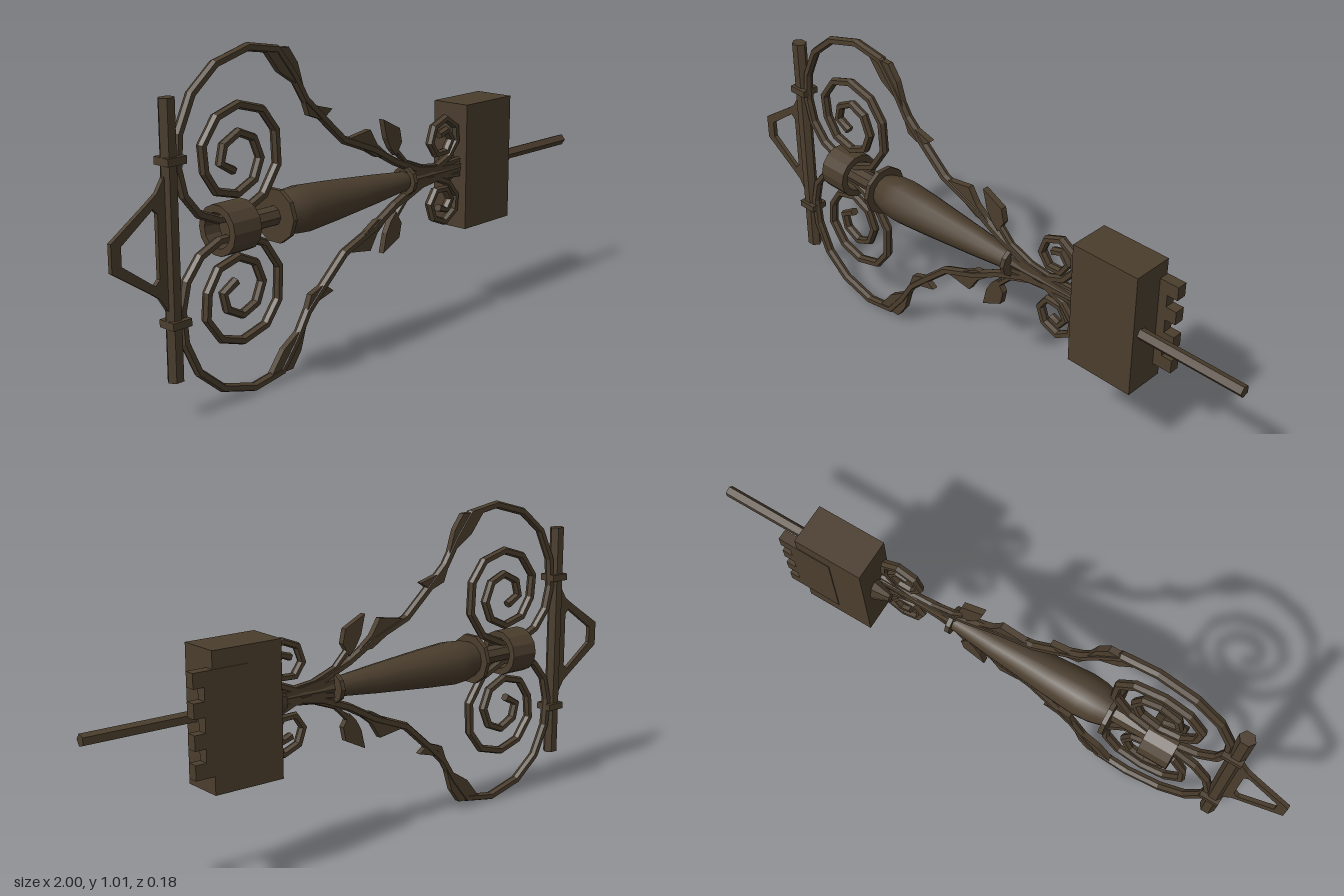
import * as THREE from 'three';

const MID = 0.507, Z = 0.01; // height and depth of the long axis

export function createModel() {
  const root = new THREE.Group();
  root.name = 'ornateKey';
  const bronze = new THREE.MeshStandardMaterial({ color: 0x4a3d2d });
  bronze.name = 'dark bronze';

  const add = (name, geo, x = 0, y = 0, z = 0) => {
    const m = new THREE.Mesh(geo, bronze);
    m.name = name;
    m.position.set(x, y, z);
    root.add(m);
    return m;
  };
  const flat = (geo) => {
    const g = geo.index ? geo.toNonIndexed() : geo;
    g.computeVertexNormals();
    return g;
  };
  // mirrors points about the long axis
  const place = (pts, side) => pts.map(([x, y]) => new THREE.Vector2(x, MID + side * (y - 0.51)));

  // hexagonal wrought bar swept along a flat path
  const bar = (pts, w, d) => {
    const ring = [[1, 0], [0.6, 1], [-0.6, 1], [-1, 0], [-0.6, -1], [0.6, -1]];
    const n = ring.length, pos = [], idx = [];
    pts.forEach((p, i) => {
      const a = pts[Math.max(i - 1, 0)], b = pts[Math.min(i + 1, pts.length - 1)];
      const t1 = p.clone().sub(a).normalize(), t2 = b.clone().sub(p).normalize();
      const t = t1.add(t2).normalize();
      ring.forEach(([u, v]) => pos.push(p.x - t.y * u * w, p.y + t.x * u * w, Z + v * d));
      for (let j = 0; j < n && i < pts.length - 1; j++) {
        const k = i * n + j, l = i * n + (j + 1) % n;
        idx.push(k, l, k + n, l, l + n, k + n);
      }
    });
    const e = (pts.length - 1) * n;
    for (let j = 1; j < n - 1; j++) idx.push(0, j + 1, j, e, e + j, e + j + 1);
    const g = new THREE.BufferGeometry();
    g.setAttribute('position', new THREE.Float32BufferAttribute(pos, 3));
    g.setIndex(idx);
    return flat(g);
  };

  // plate cut in the xy plane, centred on the axis depth
  const plate = (pts, depth, hole) => {
    const s = new THREE.Shape(pts);
    if (hole) s.holes.push(new THREE.Path(hole));
    const g = new THREE.ExtrudeGeometry(s, { depth, bevelEnabled: false });
    return g.translate(0, 0, Z - depth / 2);
  };

  // turned part along x, profile given as [x, radius]
  const turned = (name, profile, sides, smooth) => {
    let g = new THREE.LatheGeometry(profile.map(([x, r]) => new THREE.Vector2(r, x)), sides);
    if (!smooth) g = flat(g);
    g.rotateZ(-Math.PI / 2);
    return add(name, g, 0, MID, Z);
  };

  // central shaft
  turned('hubRing', [[-0.635, 0.052], [-0.635, 0.074], [-0.535, 0.074], [-0.535, 0.052], [-0.635, 0.052]], 14);
  turned('neck', [[-0.60, 0], [-0.60, 0.03], [-0.42, 0.03]], 8);
  turned('rearCollar', [[-0.42, 0], [-0.42, 0.082], [-0.405, 0.082], [-0.405, 0]], 10);
  turned('spindle', [[-0.405, 0.056], [-0.36, 0.068], [-0.31, 0.072], [-0.2, 0.064], [0, 0.046], [0.15, 0.03]], 12, true);
  turned('frontCollar', [[0.145, 0], [0.145, 0.047], [0.16, 0.047], [0.16, 0]], 10);
  turned('innerShaft', [[0.15, 0.018], [0.43, 0.014]], 6);
  turned('tipRod', [[0.6, 0], [0.6, 0.019], [1, 0.019], [1, 0]], 5);

  // lock block with toothed plate
  add('block', new THREE.BoxGeometry(0.232, 0.414, 0.135), 0.531, MID + 0.001, -0.0225);
  add('combPlate', new THREE.BoxGeometry(0.145, 0.305, 0.034), 0.6025, MID + 0.003, -0.0755);
  for (const y of [0.64, 0.555, 0.465, 0.38]) {
    add('tooth', new THREE.BoxGeometry(0.05, 0.045, 0.034), 0.686, y, -0.0755);
  }
  const socket = add('socket', flat(new THREE.CylinderGeometry(0.03, 0.08, 0.06, 8)), 0.39, MID, -0.03);
  socket.rotation.z = Math.PI / 2;
  socket.scale.set(0.75, 1, 0.4);

  // cross bar at the bow, with its end loop
  const hex = flat(new THREE.CylinderGeometry(0.026, 0.026, 0.783, 6));
  hex.rotateY(Math.PI / 2);
  add('crossBar', hex, -0.797, MID + 0.001, Z).scale.z = 0.85;
  add('endLoop', plate(
    place([[-0.81, 0.71], [-0.845, 0.655], [-0.88, 0.63], [-1, 0.55], [-1, 0.47], [-0.88, 0.39], [-0.845, 0.365], [-0.81, 0.31]], 1),
    0.014,
    place([[-0.968, 0.537], [-0.86, 0.615], [-0.845, 0.6], [-0.845, 0.42], [-0.86, 0.405], [-0.968, 0.483]], 1)));

  // ornament, repeated above and below the shaft
  const outerPath = [[-0.77, 0.7], [-0.762, 0.8], [-0.715, 0.9], [-0.63, 0.97], [-0.51, 1.003], [-0.4, 0.985],
    [-0.34, 0.91], [-0.29, 0.83], [-0.22, 0.765], [-0.13, 0.685], [0, 0.635], [0.1, 0.58], [0.2, 0.54], [0.3, 0.522], [0.42, 0.515]];
  const spiralPath = [[-0.77, 0.71], [-0.75, 0.63], [-0.7, 0.57], [-0.63, 0.54], [-0.55, 0.54], [-0.46, 0.58], [-0.405, 0.66],
    [-0.41, 0.76], [-0.46, 0.825], [-0.55, 0.85], [-0.63, 0.825], [-0.682, 0.755], [-0.675, 0.68], [-0.635, 0.62], [-0.56, 0.6],
    [-0.495, 0.63], [-0.47, 0.69], [-0.495, 0.75], [-0.55, 0.773], [-0.605, 0.745], [-0.618, 0.695], [-0.57, 0.668]];
  const smallPath = [[0.14, 0.535], [0.22, 0.522], [0.3, 0.528], [0.36, 0.552], [0.4, 0.6], [0.395, 0.65], [0.345, 0.682],
    [0.29, 0.66], [0.272, 0.61], [0.3, 0.57], [0.35, 0.572], [0.375, 0.61], [0.35, 0.642], [0.315, 0.63]];
  const stemPath = [[0.06, 0.67], [0.1, 0.62], [0.15, 0.57], [0.23, 0.54], [0.32, 0.53], [0.42, 0.535]];
  const leaves = [
    [[-0.45, 0.99], [-0.36, 0.988], [-0.325, 0.94], [-0.3, 0.86], [-0.34, 0.885], [-0.395, 0.92]],
    [[-0.315, 0.87], [-0.265, 0.81], [-0.185, 0.788], [-0.225, 0.76], [-0.28, 0.78]],
    [[0.04, 0.722], [0.115, 0.685], [0.125, 0.64], [0.1, 0.6], [0.075, 0.625], [0.055, 0.66]],
    [[-0.12, 0.685], [-0.02, 0.7], [0.012, 0.65], [0.07, 0.605], [0.01, 0.61], [-0.05, 0.645]],
  ];
  for (const side of [1, -1]) {
    add('outerScroll', bar(place(outerPath, side), 0.013, 0.013));
    add('spiralScroll', bar(place(spiralPath, side), 0.013, 0.013));
    add('smallScroll', bar(place(smallPath, side), 0.012, 0.013));
    add('leafStem', bar(place(stemPath, side), 0.009, 0.01));
    for (const leaf of leaves) add('leaf', plate(place(leaf, side), 0.02));
    add('clamp', new THREE.BoxGeometry(0.065, 0.022, 0.058), -0.79, MID + side * 0.225, Z);
  }
  return root;
}
